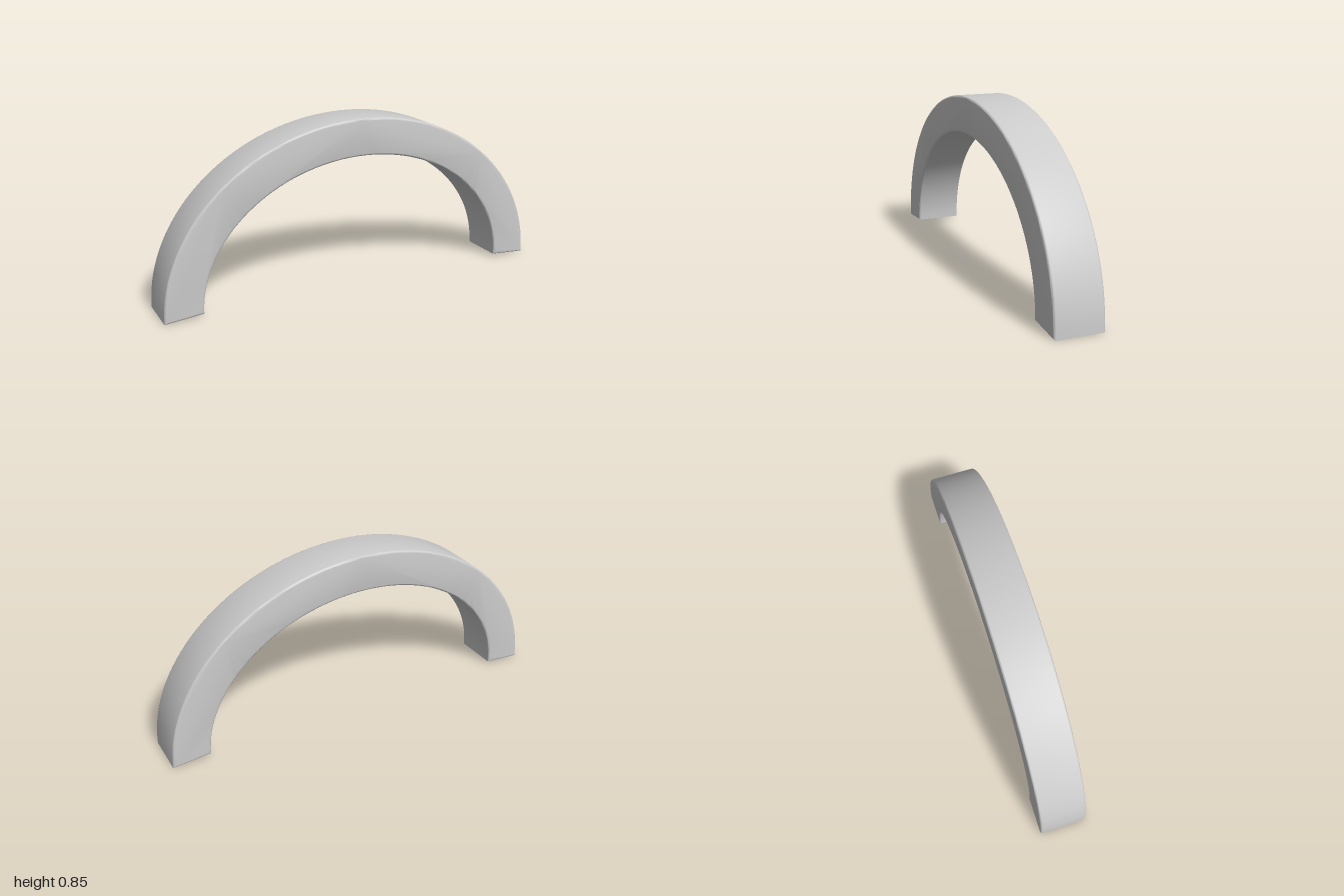
import * as THREE from 'three';
import { toCreasedNormals } from 'three/addons/utils/BufferGeometryUtils.js';

const DEPTH = 0.234;
const BEVEL = 0.01;

// Points along the upper half of an ellipse, from +x over the top to -x
function halfEllipse(rx, ry, baseY, steps) {
  const points = [];
  for (let i = 0; i <= steps; i++) {
    const a = (Math.PI * i) / steps;
    points.push(new THREE.Vector2(rx * Math.cos(a), baseY + ry * Math.sin(a)));
  }
  return points;
}

export function createModel() {
  const group = new THREE.Group();
  group.name = 'archModel';

  // Arch outline: outer curve, then inner curve back; feet slope up slightly inwards
  const outer = halfEllipse(1, 0.845, 0, 64);
  const inner = halfEllipse(0.812, 0.648, 0.015, 64).reverse();
  const shape = new THREE.Shape([...outer, ...inner]);

  // Extrude with softly rounded front and back edges, centred on z = 0
  const extruded = new THREE.ExtrudeGeometry(shape, {
    depth: DEPTH - 2 * BEVEL,
    bevelEnabled: true,
    bevelThickness: BEVEL,
    bevelSize: BEVEL,
    bevelOffset: -BEVEL,
    bevelSegments: 3,
  });
  extruded.translate(0, 0, -DEPTH / 2 + BEVEL);

  const arch = new THREE.Mesh(
    toCreasedNormals(extruded, 0.7),
    new THREE.MeshStandardMaterial({ color: 0xcccccc })
  );
  arch.name = 'arch';
  group.add(arch);
  return group;
}
